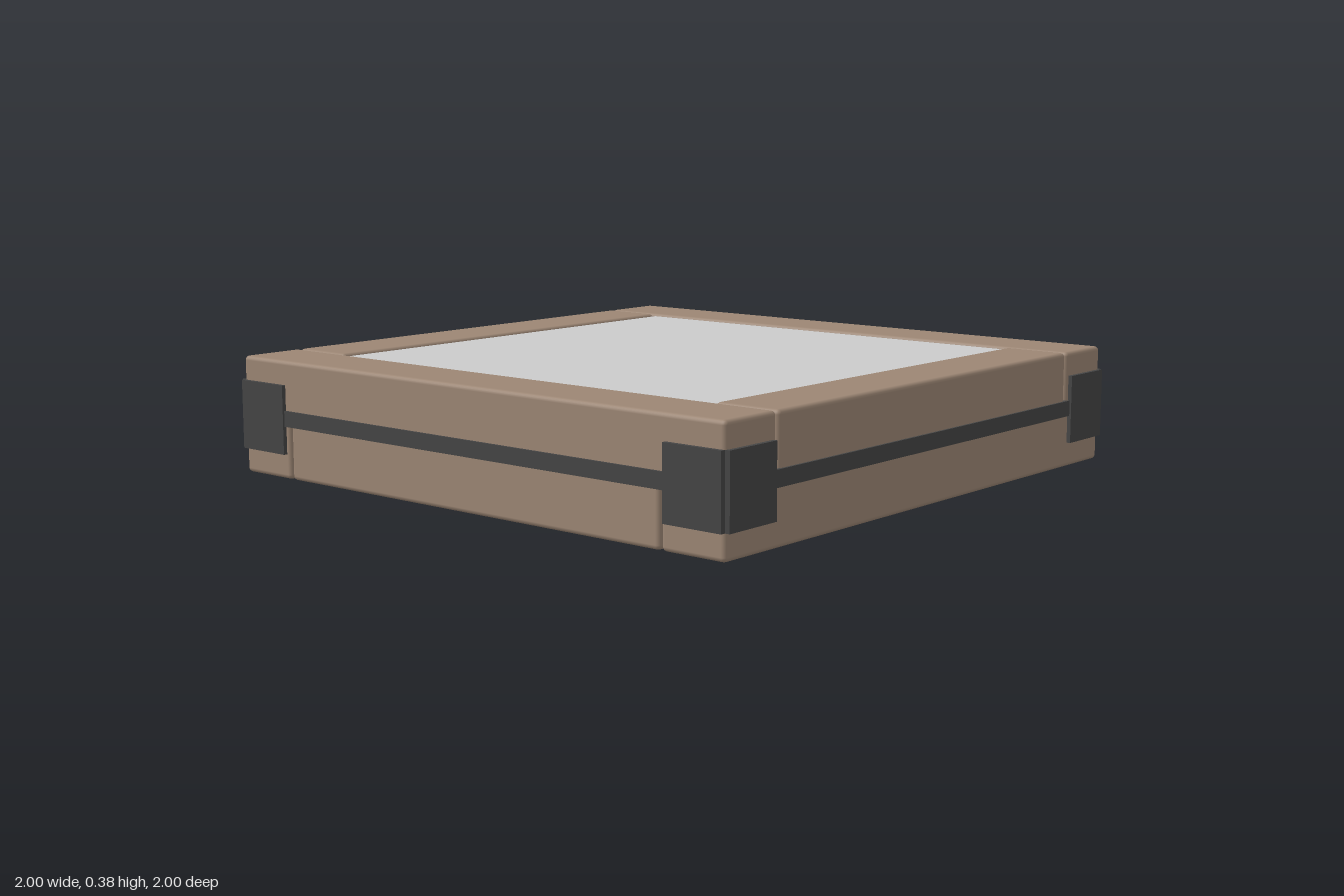
import * as THREE from 'three';
import { RoundedBoxGeometry } from 'three/addons/geometries/RoundedBoxGeometry.js';

export function createModel() {
  const model = new THREE.Group();
  model.name = 'timberFrame';
  const wood = new THREE.MeshStandardMaterial({ color: 0x9c8674 });
  const iron = new THREE.MeshStandardMaterial({ color: 0x454545 });
  const grey = new THREE.MeshStandardMaterial({ color: 0xcccccc });

  const add = (parent, name, geometry, material, x, y, z) => {
    const mesh = new THREE.Mesh(geometry, material);
    mesh.name = name;
    mesh.position.set(x, y, z);
    parent.add(mesh);
  };

  const outer = 0.987, inner = 0.768;
  const width = outer - inner, middle = (outer + inner) / 2;
  const beam = (length) => new RoundedBoxGeometry(length, 0.188, width, 2, 0.014);
  const longBeam = beam(outer * 2);
  const shortBeam = beam(inner * 2 - 0.012);
  const band = new THREE.BoxGeometry(1.96, 0.05, 0.03);
  const plate = new THREE.BoxGeometry(0.2, 0.22, 0.03);

  // Four sides; the long beams alternate between layers to lap at the corners
  ['front', 'left', 'back', 'right'].forEach((name, i) => {
    const side = new THREE.Group();
    side.name = name + 'Side';
    side.rotation.y = i * Math.PI / 2;
    const frontOrBack = i % 2 === 0;
    add(side, 'upperBeam', frontOrBack ? longBeam : shortBeam, wood, 0, 0.283, middle);
    add(side, 'lowerBeam', frontOrBack ? shortBeam : longBeam, wood, 0, 0.094, middle);

    // Metal band over the seam and a plate at each end
    add(side, 'metalBand', band, iron, 0, 0.194, 0.979);
    for (const s of [-1, 1]) add(side, 'cornerPlate', plate, iron, s * 0.884, 0.19, 0.985);
    model.add(side);
  });

  // Panel set into the top opening
  add(model, 'topPanel', new THREE.BoxGeometry(inner * 2, 0.036, inner * 2), grey, 0, 0.35, 0);
  return model;
}
